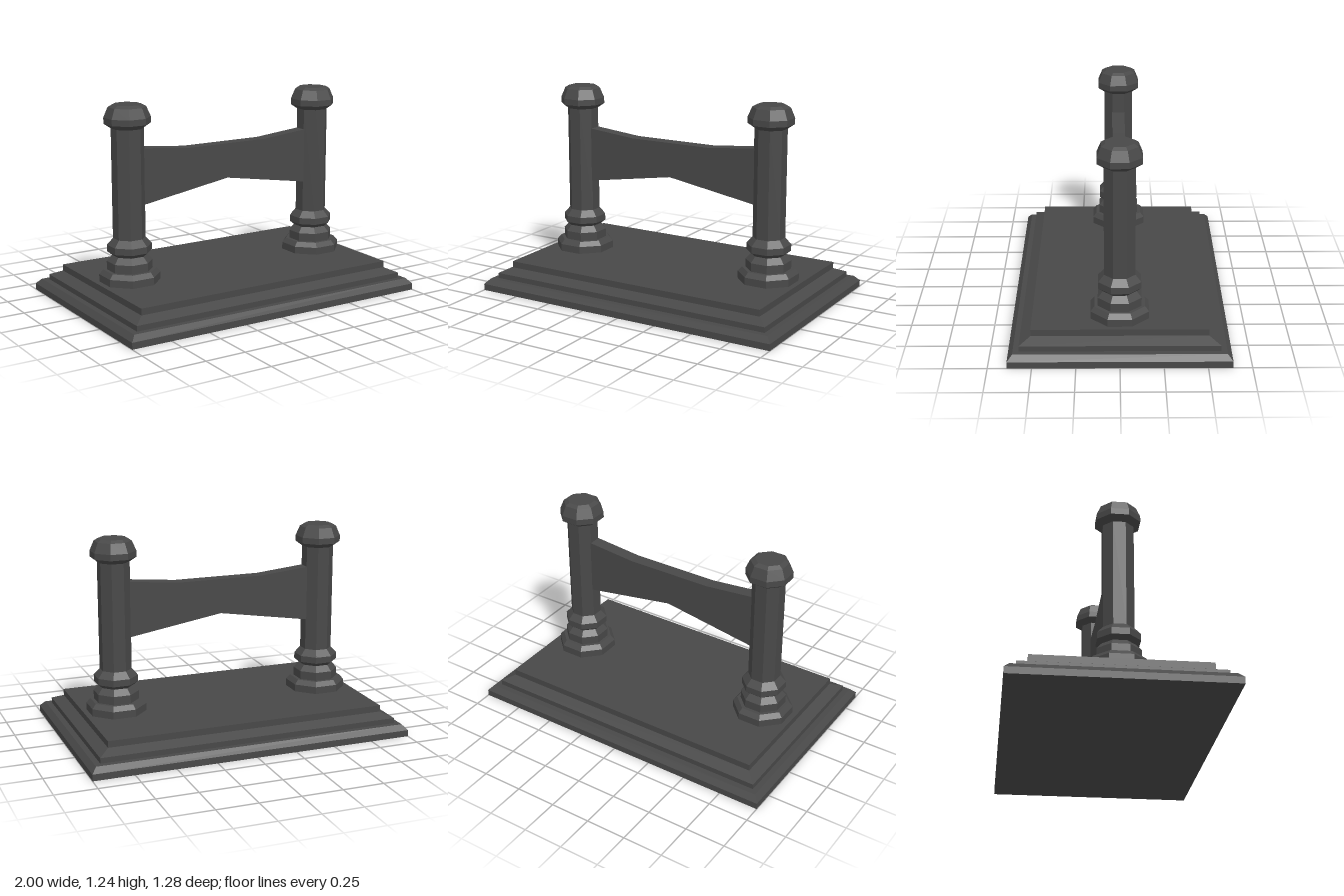
import * as THREE from 'three';

const stone = new THREE.MeshStandardMaterial({ color: 0x484848 });
stone.name = 'darkStone';

function addMesh(parent, name, geometry) {
  const flat = geometry.index ? geometry.toNonIndexed() : geometry;
  flat.computeVertexNormals();
  const mesh = new THREE.Mesh(flat, stone);
  mesh.name = name;
  parent.add(mesh);
  return mesh;
}

// Rectangular slab whose top edge may be narrower; insets are measured from the full footprint
function slab(y0, y1, inset0, inset1) {
  const g = new THREE.BoxGeometry(2, y1 - y0, 1.28);
  g.translate(0, (y0 + y1) / 2, 0);
  const p = g.attributes.position;
  const mid = (y0 + y1) / 2;
  for (let i = 0; i < p.count; i++) {
    const inset = p.getY(i) > mid ? inset1 : inset0;
    p.setX(i, Math.sign(p.getX(i)) * (1 - inset));
    p.setZ(i, Math.sign(p.getZ(i)) * (0.64 - inset));
  }
  return g;
}

// Octagonal turning with flats facing the axes; profile is [half width across flats, y]
function octagon(profile) {
  const points = profile.map(([r, y]) => new THREE.Vector2(r / Math.cos(Math.PI / 8), y));
  return new THREE.LatheGeometry(points, 8, Math.PI / 8);
}

export function createModel() {
  const model = new THREE.Group();
  model.name = 'postMonument';

  // Stepped base
  const base = new THREE.Group();
  base.name = 'steppedBase';
  model.add(base);
  addMesh(base, 'bottomStep', slab(0, 0.04, 0, 0));
  addMesh(base, 'bottomBevel', slab(0.04, 0.072, 0, 0.03));
  addMesh(base, 'middleStep', slab(0.072, 0.105, 0.065, 0.065));
  addMesh(base, 'middleBevel', slab(0.105, 0.135, 0.065, 0.13));
  addMesh(base, 'topStep', slab(0.135, 0.175, 0.13, 0.13));

  // Two matching posts
  for (const [side, x] of [['left', 0.667], ['right', -0.667]]) {
    const post = new THREE.Group();
    post.name = side + 'Post';
    post.position.x = x;
    model.add(post);
    addMesh(post, 'foot', octagon([
      [0.17, 0.175], [0.17, 0.22], [0.147, 0.248], [0.127, 0.248],
      [0.127, 0.3], [0.097, 0.336], [0.124, 0.36], [0.124, 0.4], [0.09, 0.44],
    ]));
    addMesh(post, 'shaft', octagon([[0.09, 0.44], [0.09, 1.1]]));
    addMesh(post, 'capital', octagon([
      [0.09, 1.1], [0.128, 1.128], [0.128, 1.165], [0.104, 1.225], [0.08, 1.24], [0, 1.24],
    ]));
  }

  // Waisted crossbeam between the posts
  const outline = [
    [-0.6, 0.632], [0, 0.73], [0.6, 0.632], [0.6, 0.977],
    [0.27, 0.945], [-0.27, 0.945], [-0.6, 0.977],
  ].map(([x, y]) => new THREE.Vector2(x, y));
  const beam = new THREE.ExtrudeGeometry(new THREE.Shape(outline), { depth: 0.08, bevelEnabled: false });
  beam.translate(0, 0, -0.04);
  addMesh(model, 'crossbeam', beam);

  return model;
}
